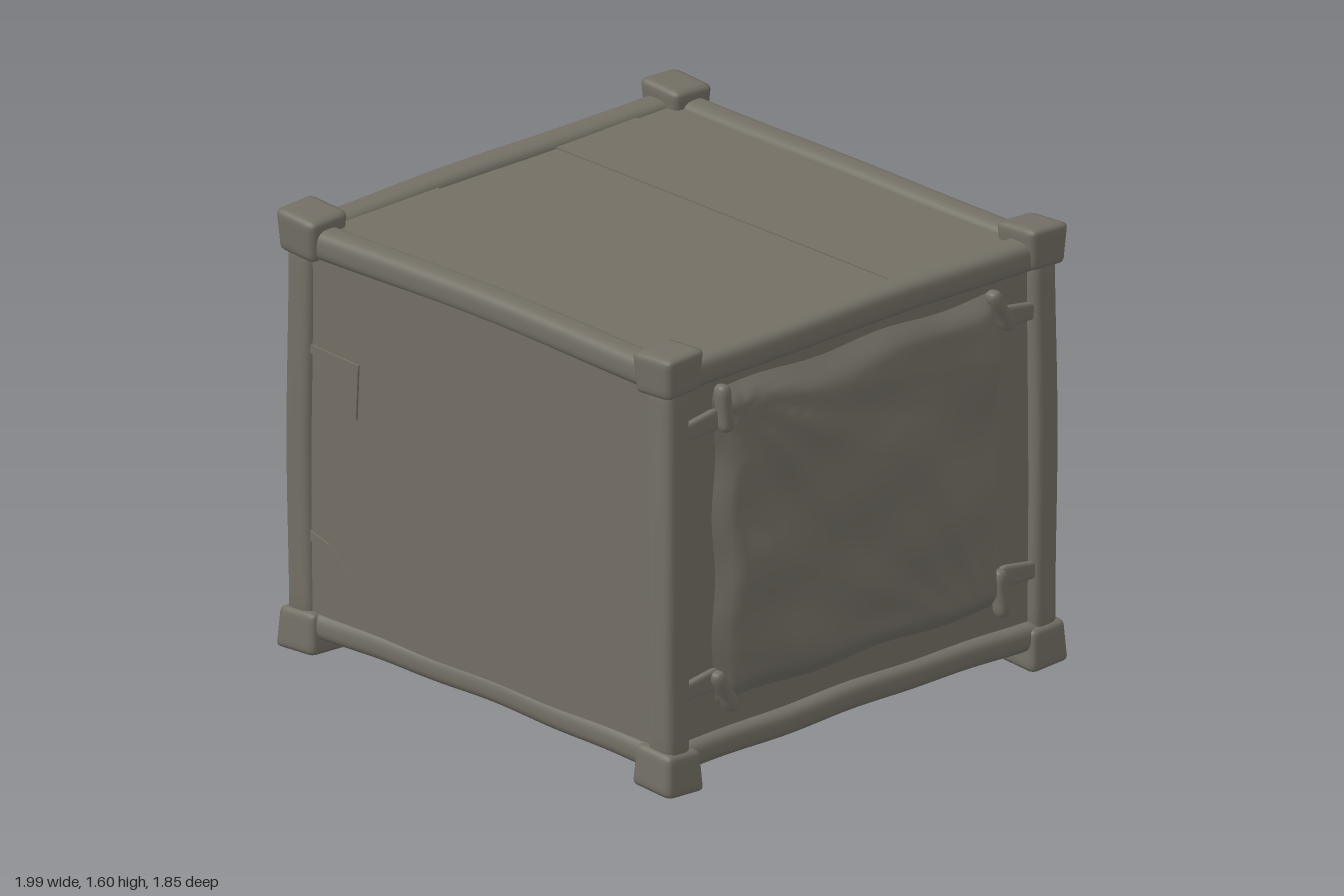
import * as THREE from 'three';
import { mergeVertices } from 'three/addons/utils/BufferGeometryUtils.js';

const canvas = new THREE.MeshStandardMaterial({ color: 0x736f65, side: THREE.DoubleSide });
canvas.name = 'weathered grey';

// Rounded block with a subdivided surface that can be bent by a rule.
function softBlock(size, segs, radius, bend) {
  let g = new THREE.BoxGeometry(...size, ...segs);
  g.deleteAttribute('uv');
  g.deleteAttribute('normal');
  g = mergeVertices(g, 1e-5);
  const p = g.attributes.position;
  const v = new THREE.Vector3(), core = new THREE.Vector3();
  const half = new THREE.Vector3(...size).multiplyScalar(0.5).subScalar(radius);
  for (let i = 0; i < p.count; i++) {
    v.fromBufferAttribute(p, i);
    core.copy(v).clamp(half.clone().negate(), half);
    v.sub(core).setLength(radius).add(core);
    if (bend) bend(v);
    p.setXYZ(i, v.x, v.y, v.z);
  }
  g.computeVertexNormals();
  return g;
}

function add(parent, name, geometry, x = 0, y = 0, z = 0) {
  const mesh = new THREE.Mesh(geometry, canvas);
  mesh.name = name;
  mesh.position.set(x, y, z);
  parent.add(mesh);
  return mesh;
}

const box = (w, h, d) => new THREE.BoxGeometry(w, h, d);

// Sharp fold: triangle wave in 0..1, peaked at whole numbers.
const fold = (t) => Math.abs(2 * (t - Math.floor(t)) - 1);

// Wrinkled cloth cover, bulging along +x, its rim tucked in.
function coverGeometry(seed) {
  const W = 1.32, H = 1.14;
  const g = new THREE.PlaneGeometry(W, H, 56, 48);
  const p = g.attributes.position;
  for (let i = 0; i < p.count; i++) {
    const a = p.getX(i), b = p.getY(i);
    const u = a / (W / 2), v = b / (H / 2);
    const rim = Math.min(1, (1 - Math.max(Math.abs(u), Math.abs(v))) / 0.1);
    const angle = Math.atan2(0.95 - v, u + 0.95);
    const angle2 = Math.atan2(v + 1.1, 0.9 - u);
    const creases = 0.014 * fold(angle * 2.8 + seed + 0.15 * Math.sin(3 * v))
      + 0.012 * fold(angle2 * 3.1 + seed * 0.7)
      + 0.008 * Math.sin(5 * u + 4 * v + seed) + 0.006 * Math.sin(9 * v - 4 * u + seed);
    const bulge = 0.03 * (1 - u * u) * (1 - v * v);
    const x = 0.9 + rim * (0.035 + bulge + creases);
    // Edges wander a little between the tied corners.
    const z = -a + 0.008 * Math.sin(8 * v) * Math.abs(u);
    const y = 0.835 + b + 0.008 * Math.sin(7 * u + seed) * Math.abs(v);
    p.setXYZ(i, Math.min(x, 0.998), y, z);
  }
  g.computeVertexNormals();
  return g;
}

export function createModel() {
  const model = new THREE.Group();
  model.name = 'coveredCrate';

  // Flat panels filling the frame
  for (const s of [-1, 1]) {
    add(model, s > 0 ? 'frontPanel' : 'backPanel', box(1.72, 1.4, 0.03), 0, 0.815, s * 0.868);
    add(model, s > 0 ? 'leftPanel' : 'rightPanel', box(0.03, 1.4, 1.68), s * 0.885, 0.815, 0);
  }

  // Planks on the lid and the floor
  const seams = [-0.83, -0.62, -0.24, 0.3, 0.83];
  for (let i = 0; i < 4; i++) {
    const depth = seams[i + 1] - seams[i], z = (seams[i] + seams[i + 1]) / 2;
    const step = i % 2 * 0.005;
    add(model, 'lidPlank', box(1.74, 0.03, depth), 0, 1.515 + step, z);
    add(model, 'floorPlank', box(1.74, 0.03, depth), 0, 0.115 - step, z);
  }

  // Frame: four posts and eight rails with slightly bent lengths
  for (const sx of [-1, 1]) for (const sz of [-1, 1]) {
    add(model, 'post', softBlock([0.12, 1.42, 0.11], [8, 24, 8], 0.035, (v) => {
      v.x += 0.004 * Math.sin(v.y * 5 + sx);
      v.z += 0.003 * Math.sin(v.y * 4 + sz);
    }), sx * 0.885, 0.81, sz * 0.85);
  }
  for (const s of [-1, 1]) for (const top of [true, false]) {
    const y = top ? 1.5 : 0.123, h = top ? 0.11 : 0.1;
    const sway = (t) => 0.004 * Math.cos(t * 4) + (top ? 0 : 0.003 * Math.sin(t * 11 + s));
    add(model, top ? 'topLongRail' : 'bottomLongRail',
      softBlock([1.76, h, 0.11], [40, 8, 8], 0.04, (v) => {
        v.y += sway(v.x);
        v.z += s * (v.x * v.x * 0.018 - 0.006);
      }), 0, y, s * 0.842);
    add(model, top ? 'topSideRail' : 'bottomSideRail',
      softBlock([0.12, h, 1.7], [8, 8, 40], 0.04, (v) => {
        v.y += sway(v.z);
        v.x += s * 0.004 * Math.sin(v.z * 6);
      }), s * 0.88, y, 0);
  }

  // Flared corner caps on top and feet below
  for (const sx of [-1, 1]) for (const sz of [-1, 1]) for (const sy of [-1, 1]) {
    const cap = softBlock([0.175, 0.15, 0.16], [8, 8, 8], 0.018, (v) => {
      const out = sy * v.y / 0.075;
      v.x *= 1 + 0.06 * out;
      v.z *= 1 + 0.07 * out;
      v.y += sy * 0.1 * (sx * v.x * 0.6 - sz * v.z * 0.5);
    });
    add(model, sy > 0 ? 'cornerCap' : 'foot', cap, sx * 0.872, sy > 0 ? 1.52 : 0.083, sz * 0.843);
  }

  // Cloth covers with a tie at each corner
  for (const s of [-1, 1]) {
    const side = new THREE.Group();
    side.name = s > 0 ? 'leftCover' : 'rightCover';
    add(side, 'cloth', coverGeometry(s > 0 ? 0.35 : 1.6));
    for (const sz of [-1, 1]) for (const y of [1.3, 0.36]) {
      const strap = add(side, 'strap', softBlock([0.03, 0.07, 0.17], [4, 6, 8], 0.012, (v) => {
        v.y *= 1 + sz * v.z * -2;
      }), 0.912, y, sz * 0.74);
      strap.rotation.x = sz * 0.08;
      const knot = add(side, 'knot', softBlock([0.06, 0.17, 0.055], [6, 8, 6], 0.025, (v) => {
        v.z += 0.02 * Math.sin(v.y * 18);
      }), 0.93, y + (y > 1 ? 0.045 : -0.04), sz * 0.64);
      knot.rotation.x = sz * (y > 1 ? -0.2 : 0.2);
    }
    if (s < 0) side.rotation.y = Math.PI;
    model.add(side);
  }

  // Patches folded up from the front and back panels
  const patch = new THREE.Shape();
  patch.moveTo(-0.83, 1.13);
  patch.lineTo(-0.595, 1.12);
  patch.lineTo(-0.605, 0.92);
  patch.lineTo(-0.64, 1.07);
  patch.lineTo(-0.83, 1.1);
  const tuck = new THREE.Shape();
  tuck.moveTo(-0.83, 0.455);
  tuck.lineTo(-0.74, 0.43);
  tuck.lineTo(-0.64, 0.35);
  tuck.lineTo(-0.75, 0.41);
  tuck.lineTo(-0.83, 0.42);
  for (const s of [-1, 1]) {
    for (const [name, shape] of [['foldedPatch', patch], ['smallFold', tuck]]) {
      const g = new THREE.ExtrudeGeometry(shape, { depth: 0.009, bevelEnabled: false });
      add(model, name, g, 0, 0, s > 0 ? 0.882 : -0.891);
    }
  }
  return model;
}
